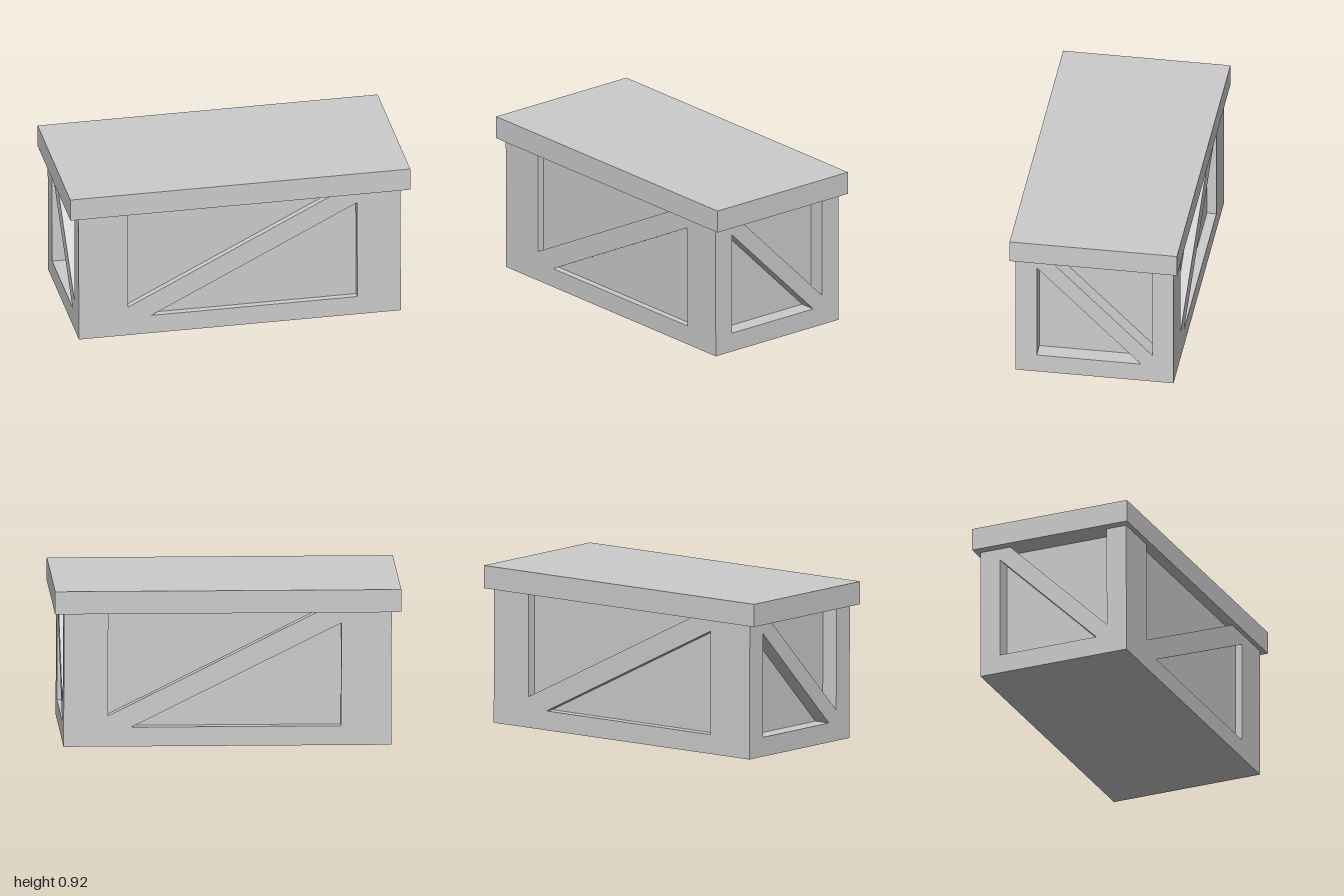
import * as THREE from 'three';

const material = new THREE.MeshStandardMaterial({ color: 0xcccccc, flatShading: true });

const BODY_X = 0.945, BODY_Z = 0.46, BODY_H = 0.785, LID_H = 0.133;
const FRONT_DEPTH = 0.04, BACK_DEPTH = 0.055, SIDE_DEPTH = 0.1;
const RAIL_H = 0.113, LOWER_TOP = 0.718, UPPER_BOTTOM = 0.18;

// Frame with a diagonal brace: a notch open to the lid and a triangular window.
// dir = 1 puts the lower window's upright at +u, dir = -1 mirrors it.
function braceFrame(name, { min, max, upright, tip, shift = 0, dir = 1, depth }) {
  const u = (v) => v * dir + shift;
  const notch = [[u(-upright), BODY_H], [u(-upright), UPPER_BOTTOM], [u(tip), BODY_H]];
  if (dir > 0) notch.reverse(); // outline runs from max back to min
  const outline = [[min, 0], [max, 0], [max, BODY_H], ...notch, [min, BODY_H]];
  const shape = new THREE.Shape(outline.map(([x, y]) => new THREE.Vector2(x, y)));
  const window = [[u(upright), RAIL_H], [u(upright), LOWER_TOP], [u(-tip), RAIL_H]];
  shape.holes.push(new THREE.Path(window.map(([x, y]) => new THREE.Vector2(x, y))));
  const mesh = new THREE.Mesh(
    new THREE.ExtrudeGeometry(shape, { depth, bevelEnabled: false }), material);
  mesh.name = name;
  return mesh;
}

function box(name, w, h, d, x, y, z) {
  const mesh = new THREE.Mesh(new THREE.BoxGeometry(w, h, d), material);
  mesh.name = name;
  mesh.position.set(x, y, z);
  return mesh;
}

export function createModel() {
  const crate = new THREE.Group();
  crate.name = 'crate';

  // Inner box whose walls form the recessed panels
  const zFront = BODY_Z - FRONT_DEPTH, zBack = -BODY_Z + BACK_DEPTH;
  crate.add(box('innerBox', 2 * (BODY_X - SIDE_DEPTH), BODY_H, zFront - zBack,
    0, BODY_H / 2, (zFront + zBack) / 2));

  // Long braced frames
  const long = { min: -BODY_X, max: BODY_X, upright: 0.6725, tip: 0.5375 };
  const front = braceFrame('frontFrame', { ...long, shift: 0.0175, depth: FRONT_DEPTH });
  front.position.z = zFront;
  const back = braceFrame('backFrame', { ...long, shift: -0.0175, depth: BACK_DEPTH });
  back.position.z = zBack;
  back.rotation.y = Math.PI;
  crate.add(front, back);

  // End braced frames, fitted between the long ones
  const end = { upright: 0.337, tip: 0.27, dir: -1, depth: SIDE_DEPTH };
  const left = braceFrame('leftFrame', { ...end, min: -zFront, max: -zBack });
  left.position.x = BODY_X - SIDE_DEPTH;
  left.rotation.y = Math.PI / 2;
  const right = braceFrame('rightFrame', { ...end, min: zBack, max: zFront });
  right.position.x = -BODY_X + SIDE_DEPTH;
  right.rotation.y = -Math.PI / 2;
  crate.add(left, right);

  // Overhanging lid
  crate.add(box('lid', 1.996, LID_H, 0.976, 0, BODY_H + LID_H / 2, 0));

  // Very slight tilt, resting on the right bottom edge
  crate.rotation.z = 0.0035;
  crate.position.y = 0.0033;

  const model = new THREE.Group();
  model.add(crate);
  return model;
}
